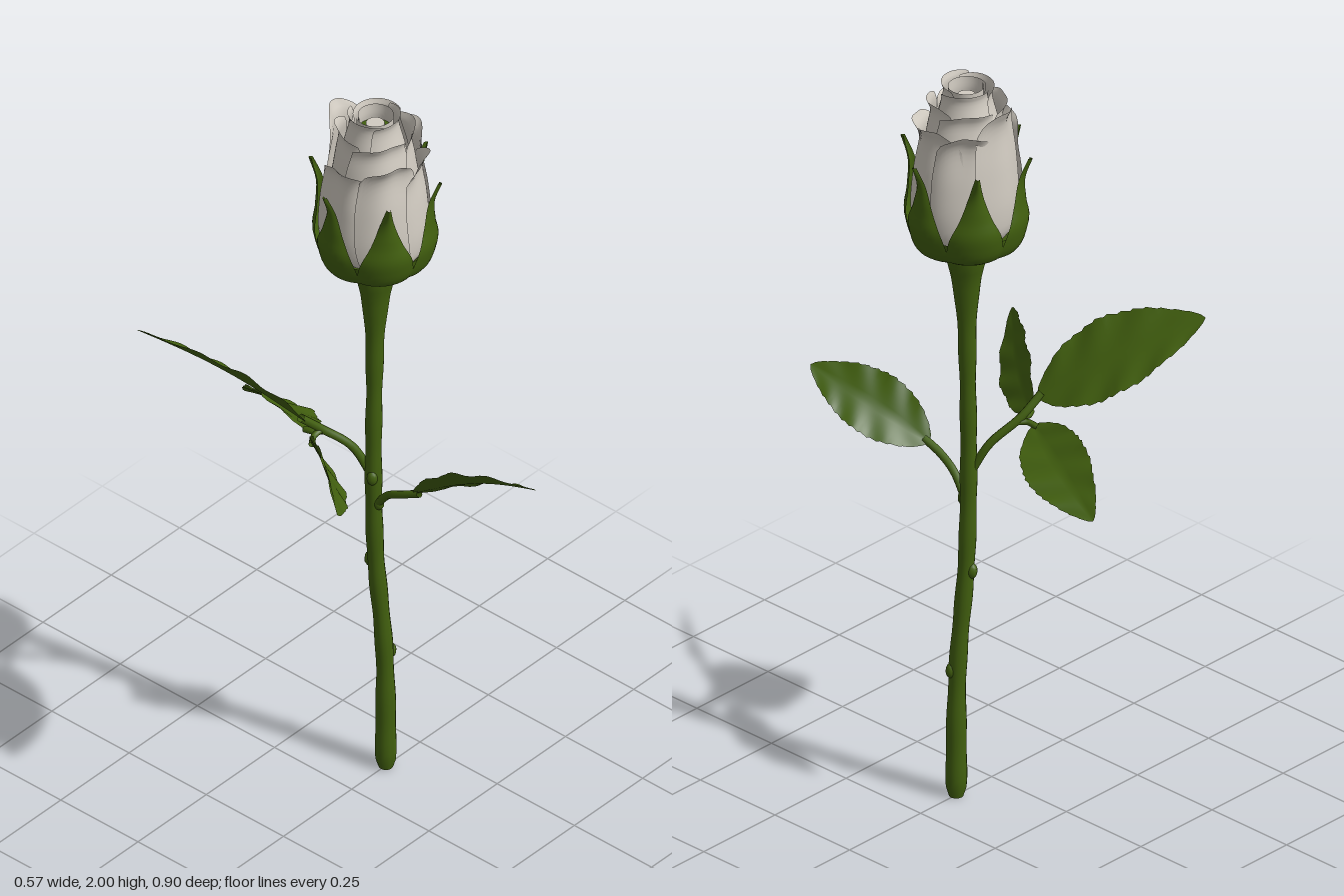
import * as THREE from 'three';

const green = new THREE.MeshStandardMaterial({ color: 0x42600f, side: THREE.DoubleSide });
green.name = 'leafGreen';
const white = new THREE.MeshStandardMaterial({ color: 0xd2ccc2, side: THREE.DoubleSide });
white.name = 'petalWhite';

const V = (x, y, z) => new THREE.Vector3(x, y, z);
const curve = (pts) => new THREE.CatmullRomCurve3(pts.map((p) => V(...p)));
const FLOWER = V(0.118, 0, -0.028);

function add(group, name, geometry, material) {
  const mesh = new THREE.Mesh(geometry, material);
  mesh.name = name;
  group.add(mesh);
  return mesh;
}

// Smooth sheet from a rule: u runs -1..1 across, v runs 0..1 along
function sheet(rule, nu, nv) {
  const pos = [], index = [];
  for (let j = 0; j <= nv; j++) {
    for (let i = 0; i <= nu; i++) {
      pos.push(...rule((i / nu) * 2 - 1, j / nv).toArray());
      if (i < nu && j < nv) {
        const a = j * (nu + 1) + i, b = a + nu + 1;
        index.push(a, b, a + 1, b, b + 1, a + 1);
      }
    }
  }
  const g = new THREE.BufferGeometry();
  g.setAttribute('position', new THREE.Float32BufferAttribute(pos, 3));
  g.setIndex(index);
  g.computeVertexNormals();
  return g;
}

// Curved blade around the flower axis; profile points are [radius, height, half angle]
function blade(profile, angle, { stretch = 1, drop = 0, spiral = 0, wave = 0, ridge = 0 }, nu, nv) {
  const path = curve(profile), base = profile[0][1];
  return sheet((u, v) => {
    const p = path.getPoint(v * (1 - drop * Math.abs(u) ** 3));
    const a = angle + u * p.z;
    const r = p.x + spiral * u + wave * v * v * Math.sin(u * 5 + angle * 3) + ridge * (1 - u * u);
    return V(FLOWER.x + r * Math.cos(a), base + (p.y - base) * stretch, FLOWER.z + r * Math.sin(a));
  }, nu, nv);
}

// Ovate leaf with toothed edge, folded midrib and slight ripples
function leaf(base, tip, side, halfWidth, bend) {
  const b = V(...base), d = V(...tip).sub(b), s = V(...side).normalize();
  const n = s.clone().cross(d).normalize();
  if (n.y < 0) n.negate();
  return sheet((u, v) => {
    const outline = Math.sin(Math.PI * v ** 0.85) ** 0.8 || 0;
    const tooth = 1 - 0.07 * ((v * 14) % 1) * Math.abs(u) ** 4;
    const w = v >= 1 ? 0 : halfWidth * outline * tooth + 0.003;
    const lift = bend * Math.sin(Math.PI * v) + 0.012 * Math.abs(u) * outline
      + 0.004 * Math.sin(v * 24 + u * 3) * Math.abs(u) * outline;
    return b.clone().addScaledVector(d, v).addScaledVector(s, u * w).addScaledVector(n, lift);
  }, 12, 56);
}

const tube = (pts, r) => new THREE.TubeGeometry(curve(pts), 16, r, 8);

export function createModel() {
  const model = new THREE.Group();
  model.name = 'rose';

  // Stem: a cylinder bent along a line and flared under the flower
  const line = curve([[0.125, 0, 0], [0.122, 0.35, -0.002], [0.108, 0.65, -0.018], [0.1, 0.9, -0.018],
    [0.106, 1.2, -0.02], [0.112, 1.45, -0.022], [0.116, 1.55, -0.026]]);
  const girth = curve([[0.018, 0, 0], [0.024, 0.02, 0], [0.022, 0.35, 0], [0.021, 0.9, 0], [0.021, 1.2, 0],
    [0.027, 1.36, 0], [0.038, 1.45, 0], [0.05, 1.5, 0], [0.05, 1.54, 0], [0.05, 1.55, 0]]);
  const at = (c, y) => {
    let lo = 0, hi = 1;
    for (let i = 0; i < 24; i++) {
      const m = (lo + hi) / 2;
      if (c.getPoint(m).y < y) lo = m; else hi = m;
    }
    return c.getPoint(lo);
  };
  const stem = new THREE.CylinderGeometry(1, 1, 1.55, 14, 62).translate(0, 0.775, 0);
  const sp = stem.attributes.position;
  for (let i = 0; i < sp.count; i++) {
    const y = sp.getY(i), c = at(line, y);
    const r = at(girth, y).x + 0.001 * Math.sin(y * 37);
    sp.setXYZ(i, c.x + sp.getX(i) * r, y, c.z + sp.getZ(i) * r);
  }
  stem.computeVertexNormals();
  add(model, 'stem', stem, green);

  // Small buds along the stem
  [[0.35, 0.4], [0.63, 4.5], [0.82, 1.6], [0.9, 2.6]].forEach(([y, a]) => {
    const c = at(line, y);
    const node = add(model, 'stemNode', new THREE.SphereGeometry(0.014, 10, 8), green);
    node.scale.y = 1.5;
    node.position.set(c.x + 0.017 * Math.cos(a), y, c.z + 0.017 * Math.sin(a));
  });

  // Leaf stalks
  add(model, 'leafStalk', tube([[0.1, 0.89, -0.02], [0.07, 0.98, -0.06], [0.01, 1.045, -0.105], [-0.045, 1.1, -0.125]], 0.011), green);
  add(model, 'leafStalk', tube([[0.02, 1.035, -0.1], [0, 1.035, -0.12], [-0.005, 1.03, -0.15]], 0.008), green);
  add(model, 'leafStalk', tube([[0.01, 1.045, -0.105], [-0.02, 1.04, -0.105], [-0.045, 1.035, -0.09]], 0.008), green);
  add(model, 'leafStalk', tube([[0.1, 0.81, -0.01], [0.09, 0.87, 0.04], [0.085, 0.9, 0.09], [0.09, 0.925, 0.14]], 0.01), green);

  // Leaves: base, tip, sideways direction, half width, bend
  [
    [[-0.04, 1.09, -0.115], [-0.28, 1.34, -0.45], [0.47, -0.5, -0.72], 0.108, 0.015],
    [[-0.005, 1.03, -0.135], [0.11, 0.93, -0.445], [0.7, -0.54, 0.46], 0.082, 0.02],
    [[-0.035, 1.03, -0.1], [-0.285, 1.11, 0.205], [-0.21, 0.88, -0.42], 0.07, 0.012],
    [[0.088, 0.92, 0.125], [0.17, 1.045, 0.445], [0.79, -0.61, 0.05], 0.08, 0.02],
  ].forEach((args) => add(model, 'leaf', leaf(...args), green));

  // Calyx cup and six sepals
  const cup = [[0.03, 1.535], [0.08, 1.545], [0.115, 1.56], [0.132, 1.585], [0.136, 1.61]];
  add(model, 'calyxCup', new THREE.LatheGeometry(cup.map((p) => new THREE.Vector2(...p)), 36), green)
    .position.copy(FLOWER);
  const sepal = [[0.06, 1.54, 0.5], [0.12, 1.556, 0.56], [0.145, 1.62, 0.48], [0.142, 1.69, 0.27],
    [0.143, 1.76, 0.11], [0.162, 1.815, 0.03]];
  for (let i = 0; i < 6; i++) {
    add(model, 'sepal', blade(sepal, 0.12 + i * Math.PI / 3, { ridge: 0.009 }, 10, 24), green);
  }

  // Outer petals: angle and height stretch
  const outer = [[0.04, 1.556, 0.5], [0.11, 1.59, 0.55], [0.132, 1.66, 0.68], [0.126, 1.76, 0.72],
    [0.114, 1.85, 0.66], [0.132, 1.9, 0.5]];
  [[0.0, 1.03], [1.1, 0.96], [2.1, 1.02], [3.2, 0.95], [4.65, 1.18], [5.5, 1.02]].forEach(([a, stretch]) =>
    add(model, 'outerPetal', blade(outer, a, { stretch, drop: 0.2, spiral: 0.006, wave: 0.005 }, 18, 24), white));

  // Middle petals wrapping the bud
  const middle = [[0.04, 1.56, 0.8], [0.105, 1.64, 0.95], [0.11, 1.75, 1.05], [0.096, 1.86, 1.0],
    [0.086, 1.92, 0.9], [0.096, 1.955, 0.75]];
  for (let i = 0; i < 4; i++) {
    add(model, 'middlePetal', blade(middle, 0.6 + i * 1.6,
      { stretch: 1 - 0.02 * (i % 2), drop: 0.12, spiral: 0.008, wave: 0.003 }, 24, 20), white);
  }

  // Inner petals, tightly rolled
  const inner = [[0.06, 1.62, 1.3], [0.09, 1.75, 1.4], [0.078, 1.88, 1.4], [0.06, 1.96, 1.35], [0.064, 1.995, 1.2]];
  for (let i = 0; i < 3; i++) {
    add(model, 'innerPetal', blade(inner, 1.2 + i * 2.1, { stretch: 1 - 0.012 * i, drop: 0.05, spiral: 0.007 }, 28, 18), white);
  }
  const core = [[0.05, 1.75, 3.2], [0.055, 1.88, 3.2], [0.044, 1.95, 3.2], [0.045, 1.985, 3.2]];
  add(model, 'corePetal', blade(core, 0.5, { spiral: 0.003 }, 40, 12), white);

  // Green heart with pale centre
  add(model, 'heart', new THREE.CylinderGeometry(0.043, 0.043, 0.05, 28), green).position.set(FLOWER.x, 1.915, FLOWER.z);
  add(model, 'heartCentre', new THREE.CylinderGeometry(0.023, 0.023, 0.03, 24), white).position.set(FLOWER.x, 1.945, FLOWER.z);

  return model;
}
